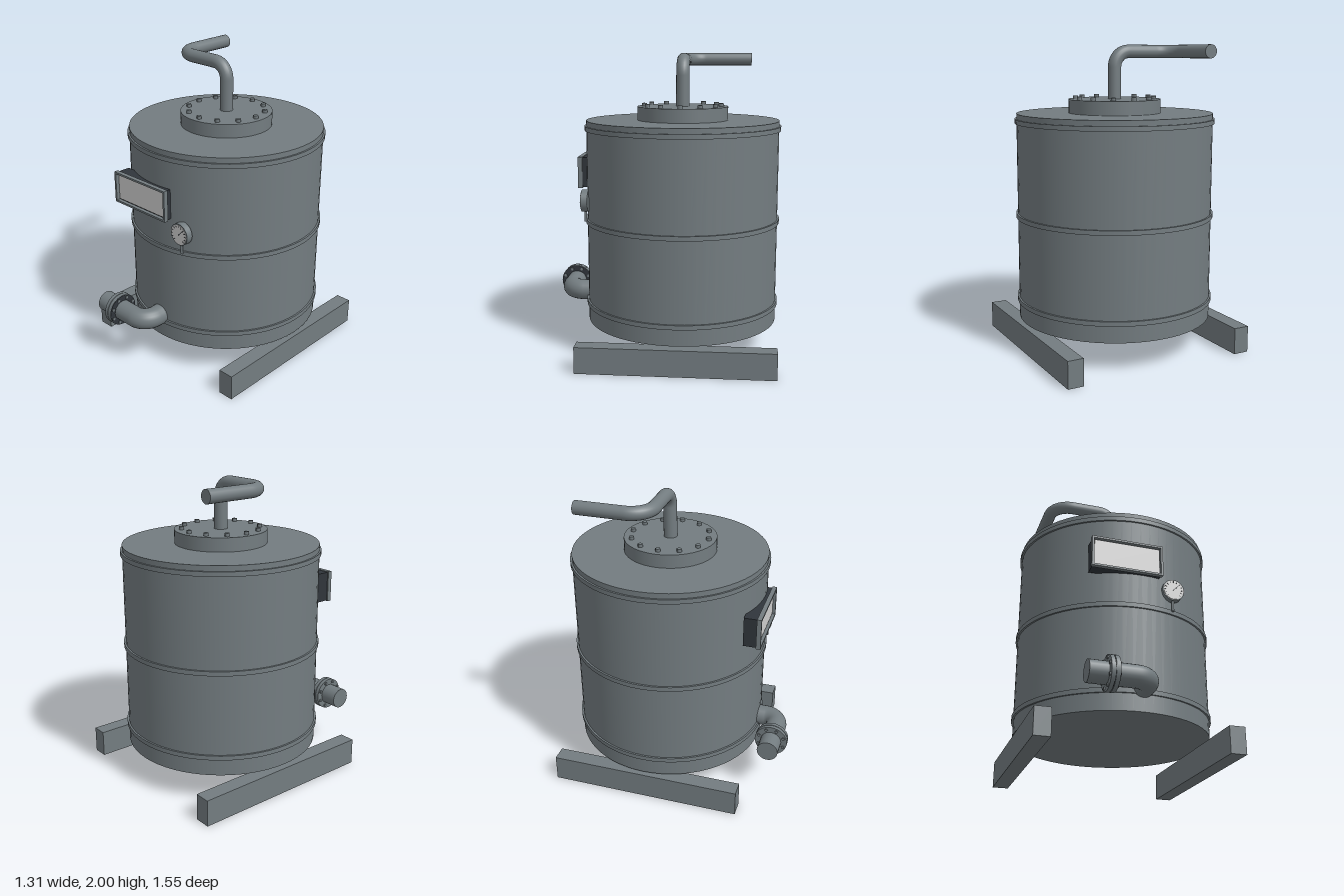
import * as THREE from 'three';

const mat = (name, color) => new THREE.MeshStandardMaterial({ name, color });

export function createModel() {
  const steel = mat('steel grey', 0x737c80);
  const dark = mat('dark grey', 0x30353b);
  const pale = mat('pale grey', 0xd0d0d0);
  const model = new THREE.Group();
  model.name = 'storageTank';
  const V = (x, y, z) => new THREE.Vector3(x, y, z);
  const CZ = -0.12; // tank axis

  const add = (name, geo, material, x = 0, y = 0, z = 0, parent = model) => {
    const m = new THREE.Mesh(geo, material);
    m.name = name;
    m.position.set(x, y, z);
    parent.add(m);
    return m;
  };
  const box = (name, material, w, h, d, x, y, z, parent) =>
    add(name, new THREE.BoxGeometry(w, h, d), material, x, y, z, parent);
  const disc = (name, material, r, h, x, y, z, seg = 32, parent = model) =>
    add(name, new THREE.CylinderGeometry(r, r, h, seg), material, x, y, z, parent);

  // Pipe through corner points, each corner rounded to a quarter bend
  function pipe(name, pts, bends, r) {
    const path = new THREE.CurvePath();
    let from = pts[0];
    for (let i = 1; i < pts.length - 1; i++) {
      const c = pts[i], b = bends[i - 1];
      const a = c.clone().add(pts[i - 1].clone().sub(c).setLength(b));
      const e = c.clone().add(pts[i + 1].clone().sub(c).setLength(b));
      path.add(new THREE.LineCurve3(from, a));
      path.add(new THREE.CubicBezierCurve3(a, a.clone().lerp(c, 0.552), e.clone().lerp(c, 0.552), e));
      from = e;
    }
    const end = pts[pts.length - 1];
    path.add(new THREE.LineCurve3(from, end));
    const g = new THREE.Group();
    g.name = name;
    model.add(g);
    add(name + 'Wall', new THREE.TubeGeometry(path, 72, r, 20), steel, 0, 0, 0, g);
    const cap = add(name + 'End', new THREE.CircleGeometry(r, 20), steel, end.x, end.y, end.z, g);
    cap.quaternion.setFromUnitVectors(V(0, 0, 1), end.clone().sub(from).normalize());
  }

  // Tank body and hoops
  disc('tankBody', steel, 0.645, 1.36, 0, 0.88, CZ, 64);
  for (const y of [0.325, 0.89, 1.51]) disc('hoop', steel, 0.657, 0.03, 0, y, CZ, 64);

  // Support beams
  for (const s of [-1, 1]) box('supportBeam', steel, 0.105, 0.175, 1.28, s * 0.603, 0.0875, CZ);

  // Lid flange with bolts
  disc('lidFlange', steel, 0.304, 0.09, 0, 1.605, CZ, 48);
  for (let i = 0; i < 12; i++) {
    const a = i * Math.PI / 6;
    disc('lidBolt', steel, 0.017, 0.02, 0.257 * Math.cos(a), 1.66, CZ + 0.257 * Math.sin(a), 6);
  }

  // Vent pipe and outlet pipe
  pipe('ventPipe', [V(0, 1.64, CZ), V(0, 1.957, CZ), V(-0.44, 1.957, CZ), V(-0.44, 1.957, -0.58)], [0.1, 0.14], 0.044);
  pipe('outletPipe', [V(0, 0.36, 0.48), V(0, 0.36, 0.665), V(-0.393, 0.36, 0.665)], [0.095], 0.07);

  // Bolted joint on the outlet pipe, axis turned along x
  const joint = new THREE.Group();
  joint.name = 'outletJoint';
  joint.position.set(-0.248, 0.36, 0.665);
  joint.rotation.z = -Math.PI / 2;
  model.add(joint);
  for (const s of [-1, 1]) disc('jointFlange', steel, 0.11, 0.025, 0, s * 0.0145, 0, 32, joint);
  disc('jointGasket', dark, 0.104, 0.006, 0, 0, 0, 32, joint);
  disc('jointFace', dark, 0.108, 0.003, 0, 0.028, 0, 32, joint);
  for (let i = 0; i < 8; i++) {
    const a = (i + 0.5) * Math.PI / 4;
    disc('jointBolt', steel, 0.011, 0.07, 0.091 * Math.cos(a), 0, 0.091 * Math.sin(a), 6, joint);
  }

  // Sign panel: dark box, grey frame, pale plate
  const PX = -0.108, PY = 1.21;
  box('panelBox', dark, 0.455, 0.2, 0.09, PX, PY, 0.505);
  const rect = (P, w, h) => {
    const p = new P();
    p.moveTo(-w, -h); p.lineTo(w, -h); p.lineTo(w, h); p.lineTo(-w, h); p.closePath();
    return p;
  };
  const frame = rect(THREE.Shape, 0.236, 0.105);
  frame.holes.push(rect(THREE.Path, 0.222, 0.092));
  add('panelFrame', new THREE.ExtrudeGeometry(frame, { depth: 0.03, bevelEnabled: false }), steel, PX, PY, 0.545);
  box('panelPlate', pale, 0.43, 0.17, 0.006, PX, PY, 0.553);

  // Pressure gauge with dial, ticks, needle and stem
  const gauge = new THREE.Group();
  gauge.name = 'gauge';
  gauge.position.set(0.21, 1.035, 0.51);
  model.add(gauge);
  disc('gaugeCase', steel, 0.073, 0.045, 0, 0, 0, 32, gauge).rotation.x = Math.PI / 2;
  disc('gaugeDial', pale, 0.066, 0.004, 0, 0, 0.0235, 32, gauge).rotation.x = Math.PI / 2;
  for (let i = 0; i < 13; i++) {
    const a = -Math.PI / 4 + i * Math.PI / 8;
    box('gaugeTick', dark, 0.012, 0.004, 0.002, 0.056 * Math.cos(a), 0.056 * Math.sin(a), 0.0262, gauge).rotation.z = a;
  }
  box('gaugeNeedle', dark, 0.055, 0.005, 0.002, 0.016, 0.016, 0.0262, gauge).rotation.z = Math.PI / 4;
  disc('gaugeStem', steel, 0.009, 0.08, 0, -0.1, 0, 12, gauge);

  return model;
}
